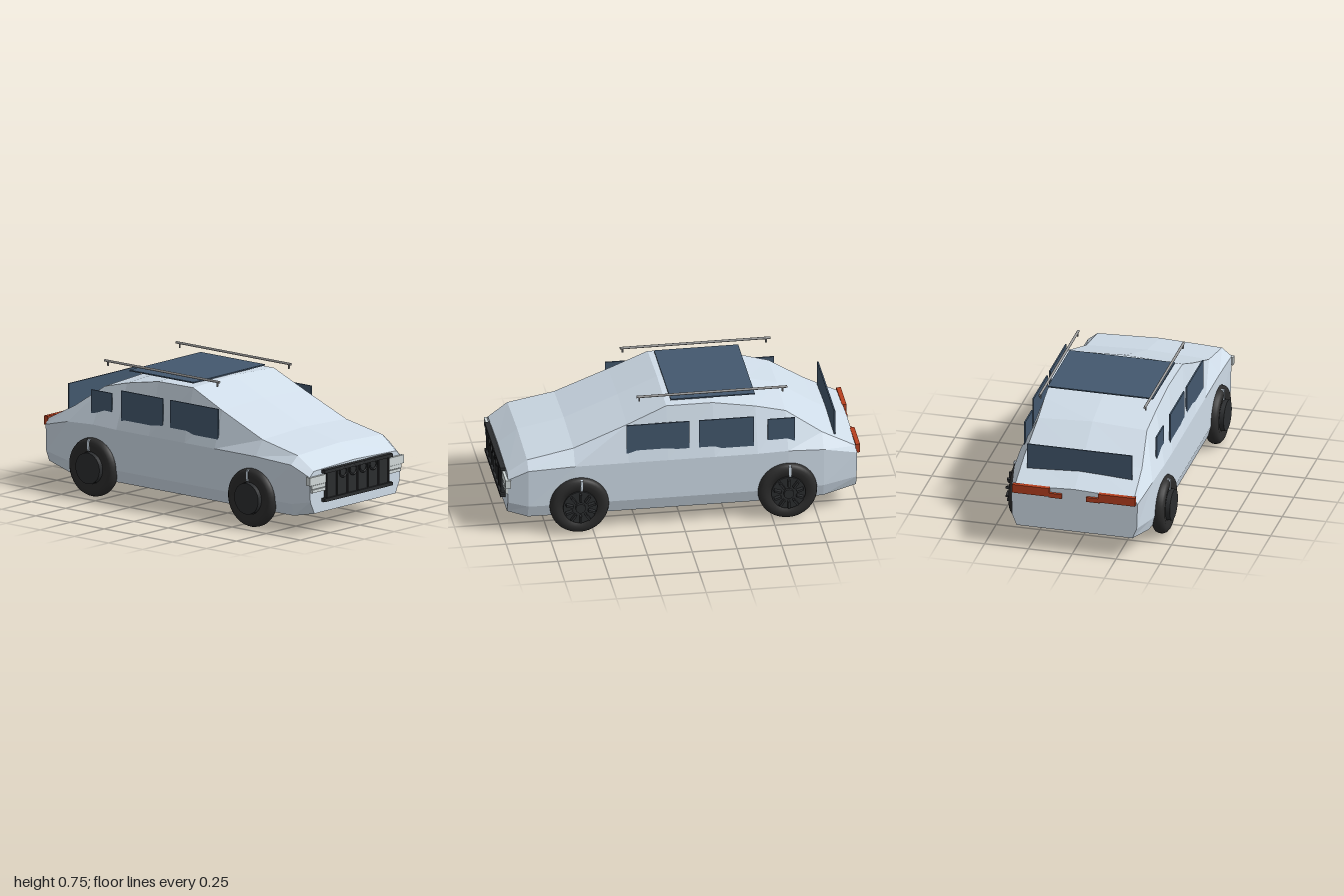
import * as THREE from 'three';

const mat = (color, extra = {}) => new THREE.MeshStandardMaterial({ color, ...extra });
const paint = mat(0xcfdce8, { flatShading: true, side: THREE.DoubleSide });
const glass = mat(0x43586e);
const dark = mat(0x2b2d2f);
const rubber = mat(0x2c2c2c);
const red = mat(0xb8401f);
const lamp = mat(0xd0d8d8);
const metal = mat(0x999999);

function add(parent, name, geometry, material, x = 0, y = 0, z = 0) {
  const mesh = new THREE.Mesh(geometry, material);
  mesh.name = name;
  mesh.position.set(x, y, z);
  parent.add(mesh);
  return mesh;
}

// Box given by its limits on each axis
function box(parent, name, material, x0, x1, y0, y1, z0, z1) {
  return add(parent, name, new THREE.BoxGeometry(Math.abs(x1 - x0), Math.abs(y1 - y0), Math.abs(z1 - z0)),
    material, (x0 + x1) / 2, (y0 + y1) / 2, (z0 + z1) / 2);
}

// Body shell lofted from front to back.
// Each row: z, bottom half width and y, sill half width and y, belt half width and y, top edge half width and y, centre y
function bodyGeometry() {
  const rows = [
    [0.97, 0.34, 0.12, 0.375, 0.19, 0.38, 0.33, 0.345, 0.36, 0.372],
    [0.86, 0.385, 0.10, 0.405, 0.17, 0.41, 0.39, 0.355, 0.435, 0.45],
    [0.60, 0.39, 0.10, 0.41, 0.17, 0.41, 0.40, 0.35, 0.485, 0.50],
    [0.30, 0.39, 0.10, 0.41, 0.17, 0.41, 0.40, 0.345, 0.605, 0.62],
    [0.08, 0.39, 0.10, 0.41, 0.17, 0.41, 0.40, 0.337, 0.70, 0.714],
    [-0.18, 0.39, 0.10, 0.41, 0.17, 0.41, 0.40, 0.328, 0.695, 0.711],
    [-0.42, 0.39, 0.10, 0.41, 0.17, 0.41, 0.40, 0.318, 0.65, 0.665],
    [-0.59, 0.39, 0.10, 0.41, 0.17, 0.41, 0.405, 0.31, 0.605, 0.622],
    [-0.79, 0.375, 0.10, 0.395, 0.17, 0.395, 0.39, 0.335, 0.47, 0.49],
    [-0.98, 0.33, 0.13, 0.355, 0.19, 0.36, 0.34, 0.34, 0.372, 0.388],
  ];
  const pos = [], idx = [], n = 9;
  for (const [z, xb, yb, xs, ys, xm, ym, xt, yt, yc] of rows) {
    const right = [[xb, yb], [xs, ys], [xm, ym], [xt, yt]];
    const ring = [...right, [0, yc], ...right.slice().reverse().map(([x, y]) => [-x, y])];
    ring.forEach(([x, y]) => pos.push(x, y, z));
  }
  for (let i = 0; i < rows.length - 1; i++) {
    for (let j = 0; j < n; j++) {
      const k = (j + 1) % n;
      const a = i * n + j, b = i * n + k, c = b + n, d = a + n;
      idx.push(a, d, c, a, c, b);
    }
  }
  // End caps
  const last = (rows.length - 1) * n;
  for (let j = 1; j < n - 1; j++) {
    idx.push(0, j, j + 1);
    idx.push(last, last + j + 1, last + j);
  }
  const g = new THREE.BufferGeometry();
  g.setAttribute('position', new THREE.Float32BufferAttribute(pos, 3));
  g.setIndex(idx);
  g.computeVertexNormals();
  return g;
}

// Wheel with a drum on its -x face and a spoked disc on its +x face
function makeWheel() {
  const wheel = new THREE.Group();
  const profile = [[0.09, -0.03], [0.125, -0.037], [0.145, -0.036], [0.158, -0.026], [0.164, -0.012],
    [0.165, 0], [0.164, 0.012], [0.158, 0.026], [0.145, 0.036], [0.125, 0.037], [0.09, 0.03], [0.09, -0.03]]
    .map(([r, h]) => new THREE.Vector2(r, h));
  add(wheel, 'tyre', new THREE.LatheGeometry(profile, 40), rubber).rotation.z = -Math.PI / 2;
  add(wheel, 'drum', new THREE.CylinderGeometry(0.088, 0.088, 0.065, 32), dark, -0.0225).rotation.z = Math.PI / 2;
  add(wheel, 'disc', new THREE.CylinderGeometry(0.095, 0.095, 0.04, 32), dark, 0.022).rotation.z = Math.PI / 2;
  add(wheel, 'hubCap', new THREE.CylinderGeometry(0.028, 0.028, 0.02, 20), dark, 0.05).rotation.z = Math.PI / 2;
  for (let i = 0; i < 10; i++) {
    const spoke = new THREE.Group();
    spoke.name = 'spoke';
    spoke.rotation.x = (i / 10) * Math.PI * 2;
    box(spoke, 'spokeBar', dark, 0.035, 0.068, 0.045, 0.086, -0.006, 0.006);
    wheel.add(spoke);
  }
  return wheel;
}

export function createModel() {
  const model = new THREE.Group();
  model.name = 'car';
  const car = new THREE.Group();
  car.name = 'carParts';
  car.position.x = -0.0075;
  model.add(car);

  add(car, 'body', bodyGeometry(), paint);

  // Dome under the floor
  const dome = add(car, 'underfloorDome', new THREE.SphereGeometry(0.09, 28, 16), paint, -0.21, 0.105, 0.43);
  dome.scale.y = 0.5;

  // Wheels and the small tab above each
  for (const side of [-1, 1]) {
    for (const z of [0.577, -0.585]) {
      const wheel = makeWheel();
      wheel.name = z > 0 ? 'frontWheel' : 'rearWheel';
      wheel.position.set(side * 0.4075, 0.166, z);
      car.add(wheel);
      box(car, 'archTab', paint, side * 0.40, side * 0.447, 0.262, 0.325, z - 0.016, z - 0.003);
    }
  }

  // Roof, rear and side glass
  box(car, 'sunroof', glass, -0.30, 0.30, 0.713, 0.72, -0.42, 0.05);
  box(car, 'rearGlass', glass, -0.30, 0.30, 0.405, 0.578, -0.869, -0.861);
  const panes = [
    ['frontSideGlass', 0.39, 0.45, 0.622, -0.04, 0.31],
    ['middleSideGlass', 0.39, 0.442, 0.622, -0.40, -0.095],
    ['rearSideGlass', 0.375, 0.452, 0.592, -0.632, -0.48],
  ];
  for (const s of [-1, 1]) {
    for (const [name, x, y0, y1, z0, z1] of panes) {
      box(car, name, glass, s * (x - 0.004), s * (x + 0.004), y0, y1, z0, z1);
    }

    // Roof rails with end posts
    const rail = add(car, 'roofRail', new THREE.CylinderGeometry(0.007, 0.007, 0.84, 12), metal, s * 0.30, 0.748, -0.18);
    rail.rotation.x = Math.PI / 2;
    for (const z of [0.225, -0.575]) {
      add(car, 'railPost', new THREE.CylinderGeometry(0.005, 0.005, 0.028, 10), metal, s * 0.30, 0.735, z);
    }

    // Tail lamps
    box(car, 'tailLamp', red, s * 0.14, s * 0.35, 0.335, 0.385, -1.0, -0.975);
    box(car, 'tailLampInner', red, s * 0.07, s * 0.145, 0.328, 0.355, -0.995, -0.975);

    // Stacked headlamp slats
    box(car, 'headlamp', lamp, s * 0.255, s * 0.393, 0.285, 0.332, 0.955, 0.985);
    box(car, 'headlampMiddle', lamp, s * 0.255, s * 0.375, 0.262, 0.283, 0.955, 0.982);
    box(car, 'headlampLower', lamp, s * 0.255, s * 0.372, 0.242, 0.259, 0.955, 0.982);
  }

  // Grille with bars and four rings
  box(car, 'grillePanel', dark, -0.262, 0.265, 0.19, 0.345, 0.965, 0.985);
  box(car, 'grilleTopBar', dark, -0.283, 0.285, 0.34, 0.359, 0.965, 0.998);
  box(car, 'grilleBottomBar', dark, -0.283, 0.285, 0.179, 0.198, 0.965, 0.998);
  for (let i = 0; i < 7; i++) {
    const x = -0.258 + i * 0.0865;
    box(car, 'grilleUpright', dark, x - 0.004, x + 0.004, 0.19, 0.345, 0.975, 0.992);
  }
  for (let i = 0; i < 4; i++) {
    add(car, 'grilleRing', new THREE.TorusGeometry(0.029, 0.005, 10, 32), dark, -0.125 + i * 0.0835, 0.326, 0.994);
  }

  return model;
}
